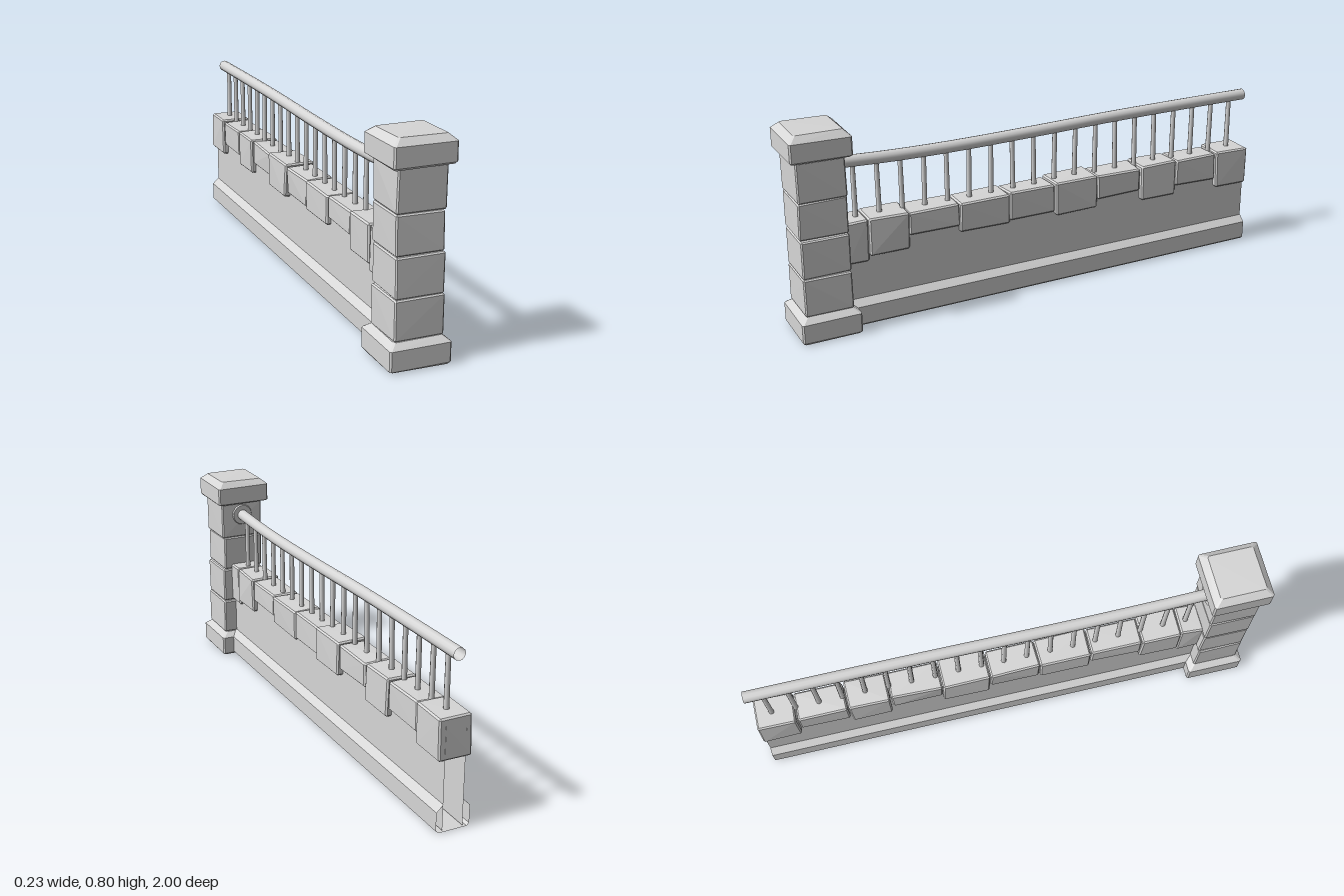
import * as THREE from 'three';
import { ConvexGeometry } from 'three/addons/geometries/ConvexGeometry.js';

export function createModel() {
  const model = new THREE.Group();
  model.name = 'wallWithRailing';
  const stoneGrey = new THREE.MeshStandardMaterial({ color: 0xd6d6d6, side: THREE.DoubleSide });
  stoneGrey.name = 'stone grey';

  let seed = 7;
  const wobble = (amount) => {
    seed = (seed * 16807) % 2147483647;
    return (seed / 2147483647 - 0.5) * 2 * amount;
  };

  const add = (parent, name, geometry) => {
    const mesh = new THREE.Mesh(geometry, stoneGrey);
    mesh.name = name;
    parent.add(mesh);
    return mesh;
  };

  // Hand-cut block: chamfered box with slightly uneven corners
  const block = ([x0, x1], [y0, y1], [z0, z1], bevel = 0.005, rough = 0.002) => {
    const points = [];
    for (const [x, sx] of [[x0, 1], [x1, -1]])
      for (const [y, sy] of [[y0, 1], [y1, -1]])
        for (const [z, sz] of [[z0, 1], [z1, -1]]) {
          const c = new THREE.Vector3(x + wobble(rough), y + wobble(rough), z + wobble(rough));
          const [bx, by, bz] = [sx * bevel, sy * bevel, sz * bevel];
          points.push(c.clone().add(new THREE.Vector3(0, by, bz)),
            c.clone().add(new THREE.Vector3(bx, 0, bz)),
            c.clone().add(new THREE.Vector3(bx, by, 0)));
        }
    return new ConvexGeometry(points);
  };

  // Square slab made from rings of [height, half width], with small corner cuts
  const slab = (rings, z, cut = 0.006) => {
    const points = [];
    for (const [y, h] of rings)
      for (const sx of [-1, 1])
        for (const sz of [-1, 1]) {
          const dy = wobble(0.002);
          points.push(new THREE.Vector3(sx * h, y + dy, z + sz * (h - cut)),
            new THREE.Vector3(sx * (h - cut), y + dy, z + sz * h));
        }
    return new ConvexGeometry(points);
  };

  // Open-ended strip: an x/y profile drawn straight along z
  const strip = (profile, z0, z1) => {
    const pos = [];
    for (let i = 0; i < profile.length - 1; i++) {
      const [ax, ay] = profile[i], [bx, by] = profile[i + 1];
      pos.push(ax, ay, z0, bx, by, z0, bx, by, z1, ax, ay, z0, bx, by, z1, ax, ay, z1);
    }
    const g = new THREE.BufferGeometry();
    g.setAttribute('position', new THREE.Float32BufferAttribute(pos, 3));
    g.computeVertexNormals();
    return g;
  };

  // Post: foot, four blocks, cap
  const post = new THREE.Group();
  post.name = 'post';
  model.add(post);
  const postZ = 0.885;
  add(post, 'postFoot', slab([[0.004, 0.108], [0.011, 0.115], [0.084, 0.115], [0.105, 0.09]], postZ));
  const courses = [
    [[-0.091, 0.095], [0.104, 0.252]],
    [[-0.088, 0.093], [0.254, 0.401]],
    [[-0.092, 0.087], [0.404, 0.547]],
    [[-0.091, 0.093], [0.549, 0.702]],
  ];
  for (const [x, y] of courses) add(post, 'postBlock', block(x, y, [0.794, 0.978]));
  add(post, 'postCap', slab([[0.703, 0.109], [0.71, 0.115], [0.779, 0.115], [0.803, 0.089]], postZ));

  // Wall panel and plinth, hollow at the far end
  const wallSide = 0.04;
  for (const s of [-1, 1])
    add(model, 'wallPanel', strip([[s * wallSide, 0.01], [s * wallSide, 0.4]], -0.998, 0.8));
  const half = [[0.04, 0.11], [0.066, 0.085], [0.066, 0.014], [0.056, 0.005]];
  const plinth = [...half, ...half.map(([x, y]) => [-x, y]).reverse()];
  add(model, 'plinth', strip(plinth, -1, 0.8));

  // Coping stones: [front z, back z, bottom, top, half width]
  const coping = [
    [0.797, 0.707, 0.258, 0.426, 0.057], [0.706, 0.546, 0.28, 0.428, 0.061],
    [0.546, 0.34, 0.332, 0.422, 0.056], [0.338, 0.13, 0.301, 0.421, 0.06],
    [0.128, -0.071, 0.31, 0.421, 0.056], [-0.075, -0.262, 0.292, 0.428, 0.062],
    [-0.266, -0.468, 0.325, 0.423, 0.056], [-0.472, -0.636, 0.279, 0.427, 0.06],
    [-0.642, -0.838, 0.312, 0.423, 0.056], [-0.842, -0.998, 0.271, 0.427, 0.062],
  ];
  for (const [z1, z0, y0, y1, w] of coping)
    add(model, 'copingStone', block([-w, w], [y0, y1], [z0, z1], 0.006, 0.003));

  // Handrail with a gentle sag, open at the far end
  const railPath = new THREE.CatmullRomCurve3([
    [0.8, 0.648], [0.6, 0.639], [0.35, 0.635], [0, 0.639], [-0.35, 0.646], [-0.7, 0.648], [-0.998, 0.648],
  ].map(([z, y]) => new THREE.Vector3(0, y, z)));
  add(model, 'handrail', new THREE.TubeGeometry(railPath, 24, 0.023, 12));

  // Round collar where the rail meets the post
  const collar = add(model, 'railCollar', new THREE.CylinderGeometry(0.042, 0.046, 0.008, 16));
  collar.rotation.x = -Math.PI / 2;
  collar.position.set(0, 0.648, 0.792);

  // Balusters
  for (let i = 0; i < 19; i++) {
    const bar = add(model, 'baluster', new THREE.CylinderGeometry(0.0095, 0.0105, 0.225, 8, 1, true));
    bar.position.set(0, 0.525, 0.738 - i * 0.0927);
    bar.rotation.x = wobble(0.015);
  }
  return model;
}
